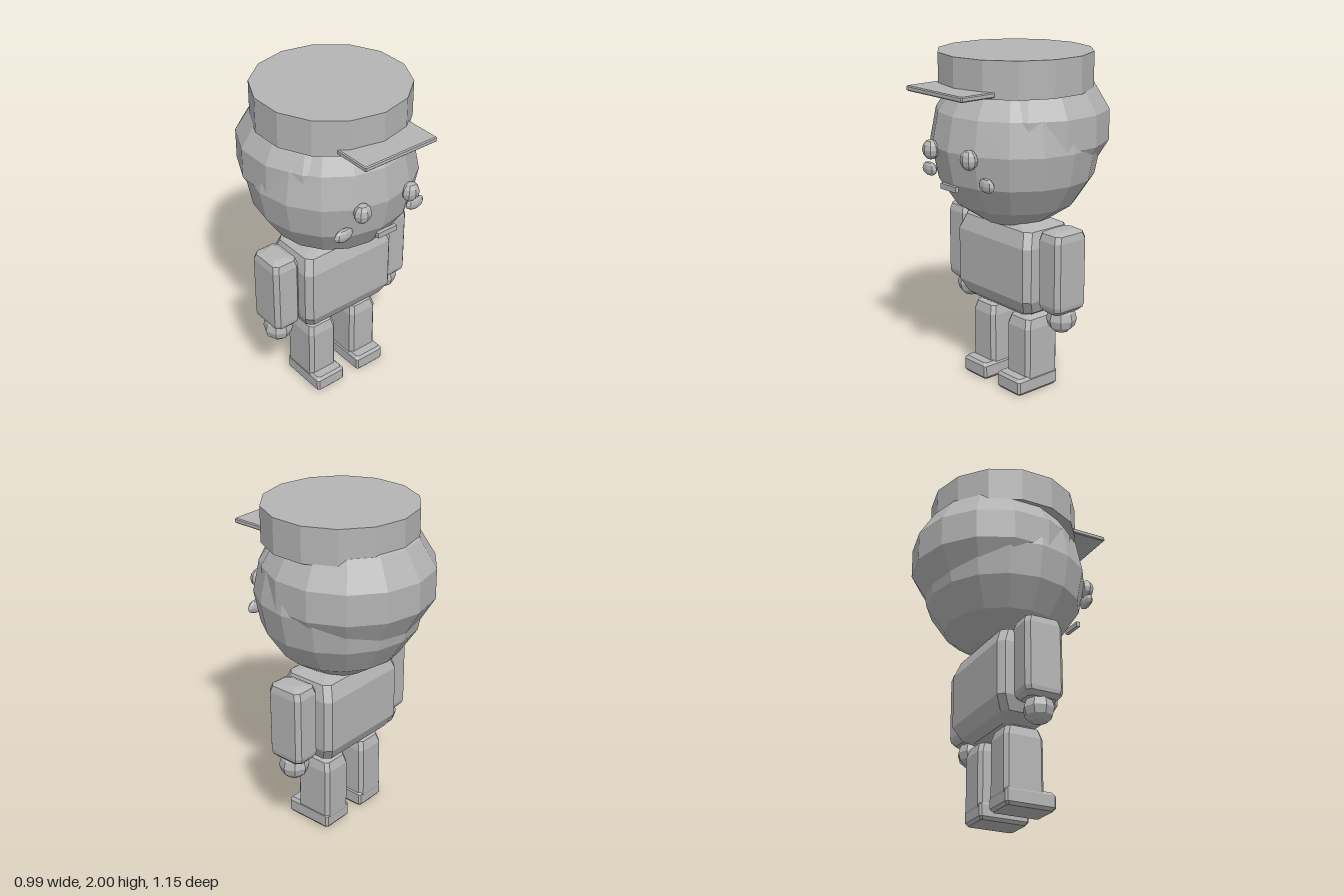
import * as THREE from 'three';

const grey = new THREE.MeshStandardMaterial({ color: 0xb4b4b4, flatShading: true });
grey.name = 'plain grey';

function part(parent, name, geometry, x = 0, y = 0, z = 0) {
  const mesh = new THREE.Mesh(geometry, grey);
  mesh.name = name;
  mesh.position.set(x, y, z);
  parent.add(mesh);
  return mesh;
}

// Low-poly ball with a vertex column facing front.
function ball(rx, ry, rz, segments, rings) {
  return new THREE.SphereGeometry(1, segments, rings).rotateY(Math.PI / 2).scale(rx, ry, rz);
}

// Block with cut corners, lofted through levels of [y, half width, half depth].
function block(levels, cut) {
  const points = [], index = [];
  for (const [y, w, d] of levels) {
    const a = w - cut, b = d - cut;
    const ring = [[a, d], [w, b], [w, -b], [a, -d], [-a, -d], [-w, -b], [-w, b], [-a, d]];
    for (const [x, z] of ring) points.push(x, y, z);
  }
  const top = (levels.length - 1) * 8;
  for (let l = 0; l < top; l += 8) {
    for (let i = 0; i < 8; i++) {
      const j = (i + 1) % 8;
      index.push(l + i, l + j, l + 8 + j, l + i, l + 8 + j, l + 8 + i);
    }
  }
  for (let i = 1; i < 7; i++) {
    index.push(0, i + 1, i, top, top + i, top + i + 1);
  }
  const geometry = new THREE.BufferGeometry();
  geometry.setAttribute('position', new THREE.Float32BufferAttribute(points, 3));
  geometry.setIndex(index);
  geometry.computeVertexNormals();
  return geometry;
}

// Block with the same bevel at the top and bottom.
function bevelBlock(y0, y1, w, d, inset, rise, cut) {
  return block([
    [y0, w - inset, d - inset], [y0 + rise, w, d],
    [y1 - rise, w, d], [y1, w - inset, d - inset],
  ], cut);
}

export function createModel() {
  const model = new THREE.Group();
  model.name = 'figure';

  // Head, hair and cap
  part(model, 'head', ball(0.495, 0.5, 0.495, 16, 8), 0, 1.48, -0.017);
  part(model, 'hair', ball(0.508, 0.404, 0.508, 14, 7), 0, 1.58, -0.08);
  part(model, 'cap', new THREE.CylinderGeometry(0.447, 0.447, 0.21, 14), 0, 1.895, -0.017);
  part(model, 'capBrim', bevelBlock(1.8, 1.83, 0.246, 0.17, 0.006, 0.006, 0.006), 0, 0, 0.4);

  // Face
  part(model, 'mouth', new THREE.BoxGeometry(0.133, 0.032, 0.023), 0, 1.278, 0.468);

  // Torso
  part(model, 'torso', block([
    [0.48, 0.22, 0.1], [0.52, 0.285, 0.15], [0.6, 0.32, 0.19],
    [0.92, 0.32, 0.19], [1.01, 0.29, 0.155], [1.04, 0.2, 0.1],
  ], 0.035), 0, 0, -0.012);

  // Paired parts
  for (const s of [-1, 1]) {
    const side = s > 0 ? 'left' : 'right';
    part(model, side + 'Eye', ball(0.055, 0.058, 0.045, 8, 6), s * 0.17, 1.465, 0.465);
    part(model, side + 'Cheek', ball(0.065, 0.041, 0.025, 8, 6), s * 0.255, 1.33, 0.411);
    part(model, side + 'Arm', block([
      [0.55, 0.06, 0.09], [0.575, 0.083, 0.112], [0.6, 0.087, 0.118],
      [0.98, 0.087, 0.118], [1.02, 0.078, 0.105], [1.04, 0.04, 0.07],
    ], 0.025), s * 0.409, 0, -0.012);
    part(model, side + 'Hand', ball(0.088, 0.085, 0.09, 8, 6), s * 0.409, 0.5, -0.012);
    part(model, side + 'Leg', block([
      [0.05, 0.085, 0.11], [0.08, 0.097, 0.122], [0.4, 0.097, 0.122],
      [0.455, 0.083, 0.105], [0.475, 0.05, 0.07],
    ], 0.022), s * 0.157, 0, -0.012);
    part(model, side + 'Foot', bevelBlock(0, 0.105, 0.102, 0.155, 0.014, 0.018, 0.012),
      s * 0.155, 0, 0.024);
  }
  return model;
}
